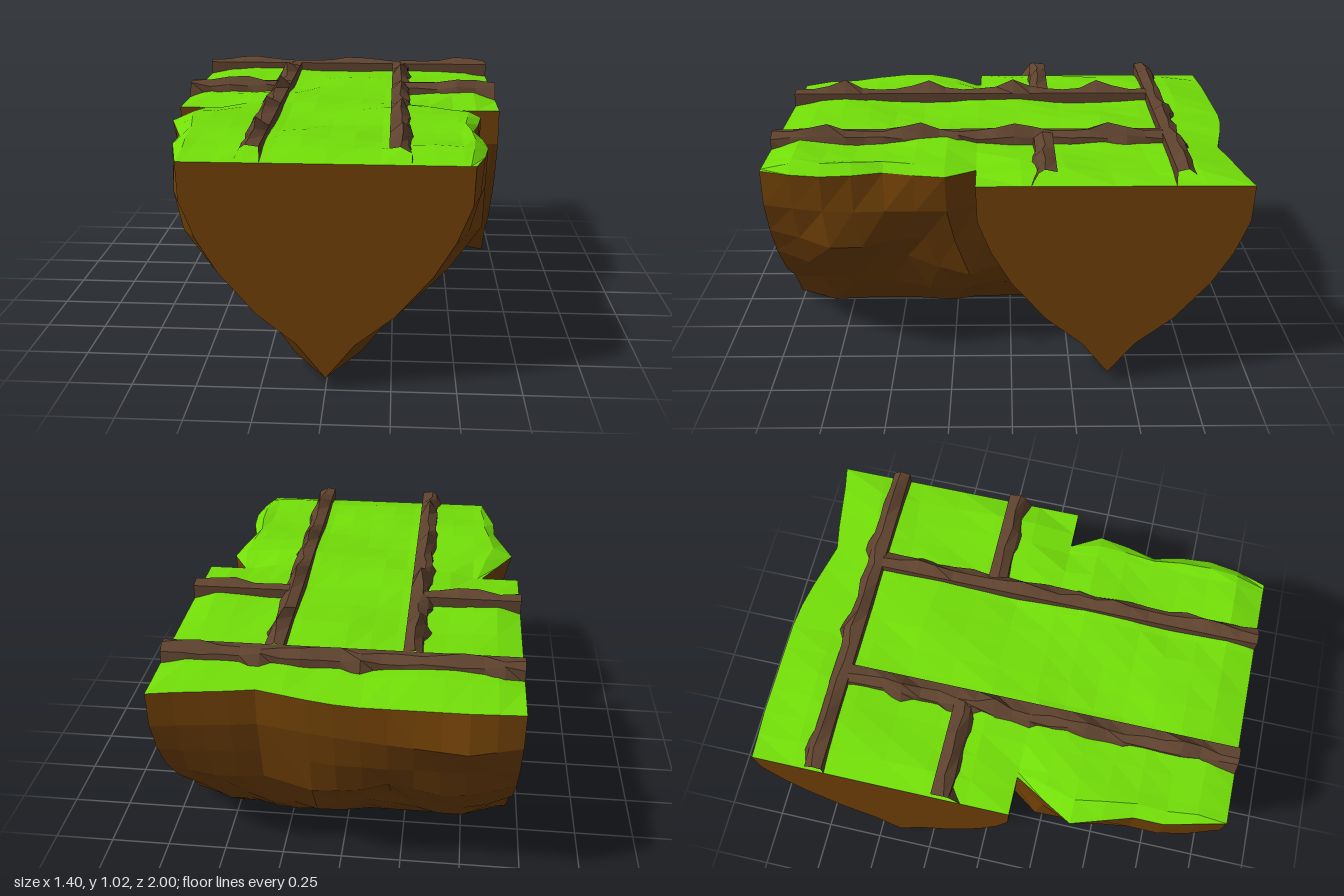
import * as THREE from 'three';

const mat = (color) => new THREE.MeshStandardMaterial({ color, flatShading: true });
const lerp = THREE.MathUtils.lerp;

// Repeatable 0..1 value for a position
const rnd = (x, y, z) => {
  const s = Math.sin(x * 127.1 + y * 311.7 + z * 74.7 + 1.3) * 4375.85;
  return s - Math.floor(s);
};

// Broad 0..1 swells with a little grain
const swell = (x, y, z) =>
  0.4 + 0.2 * Math.sin(9 * x + 8 * y + 7 * z) + 0.2 * Math.sin(5 * x - 11 * y - 10 * z) + 0.2 * rnd(x, y, z);

// Surface from rows of points; the front lies along (row step) x (column step)
function grid(rows, flip) {
  const n = rows[0].length, idx = [];
  for (let i = 0; i < rows.length - 1; i++) {
    for (let j = 0; j < n - 1; j++) {
      const a = i * n + j, b = a + n, c = a + 1, d = b + 1;
      if (flip) idx.push(a, c, b, b, c, d);
      else idx.push(a, b, c, b, d, c);
    }
  }
  const g = new THREE.BufferGeometry();
  g.setAttribute('position', new THREE.Float32BufferAttribute(rows.flat(2), 3));
  g.setIndex(idx);
  const flat = g.toNonIndexed();
  flat.computeVertexNormals();
  return flat;
}

// Half cross-section of the rock from rim to keel: half width, height
const PROFILE = [[0.54, 0.9], [0.535, 0.75], [0.48, 0.61], [0.4, 0.475], [0.26, 0.31], [0.11, 0.19], [0, 0.05]];
// Outward direction at each profile point: sideways, vertical
const OUT = [[1, 0], [1, -0.1], [0.9, -0.3], [0.8, -0.5], [0.6, -0.7], [0.15, -1], [0, -1]];
const KEEL = PROFILE.length - 1;
const STEPS = 7, BAR_Z = -0.4, SEAM_Z = 0.14, END_X = 0.7;

// Largest bulge of each profile point, and the filling of the inner corners
const STEM_BULGE = [0, 0.05, 0.1, 0.1, 0.12, 0.24, 0.08];
const BACK_BULGE = [0, 0, 0.06, 0.14, 0.17, 0.11, 0];
const FRONT_BULGE = [0, 0, 0.015, -0.01, -0.05, -0.08, 0];
const FILLET = [0, 0, 0.03, 0.05, 0.05, 0.02, 0];

// The keel of the crossbar lies further back between its ends
const KEEL_SHIFT = 0.08;
const keelZ = (x) => BAR_Z - KEEL_SHIFT * Math.min(1, 5 * (END_X - Math.abs(x)));

// How far the rim wanders from the straight profile
const RIM_LEFT = [0, 0.04, 0.06, 0.05, 0.02, 0.05, 0.07, 0];
const RIM_RIGHT = [0, 0.03, 0.06, 0.06, 0.1, 0.14, 0.07, 0];
const RIM_BACK = [0, 0.005, 0.01, 0.01, 0.01, 0.01, 0.01, 0, -0.02, -0.045, -0.07, -0.05, -0.035, -0.02, 0];
const backRim = (x) => RIM_BACK[Math.round((x + END_X) * 10)];

// One side of the stem, mitred against the crossbar
function stemSide(s) {
  const rim = s > 0 ? RIM_LEFT : RIM_RIGHT, rows = [];
  for (let i = 0; i <= STEPS; i++) {
    const u = i / STEPS;
    const fade = Math.min(1, 1.7 * Math.sin(Math.PI * u));
    rows.push(PROFILE.map(([w, y], j) => {
      const z = lerp(1, j === KEEL ? keelZ(0) : BAR_Z + w, u), e = FILLET[j] * u ** 3;
      const low = j >= KEEL - 1 ? 1 - u ** 4 : 1;
      const d = STEM_BULGE[j] * fade * low * swell(s * w, y, z);
      const x = w + OUT[j][0] * d + e + rim[i] * (1 - j / KEEL) ** 2;
      return [s * x, Math.max(0, y + OUT[j][1] * d - e), z + e];
    }));
  }
  return grid(rows, s > 0);
}

// Half of the crossbar's front, mitred against the stem
function barFront(s) {
  const rows = [];
  for (let i = 0; i <= STEPS; i++) {
    const u = i / STEPS;
    rows.push(PROFILE.map(([w, y], j) => {
      const x = lerp(END_X, w, u), e = FILLET[j] * u ** 3;
      if (j === KEEL) return [s * x, y, keelZ(x)];
      const d = FRONT_BULGE[j] * Math.sin(Math.PI * u) * (0.5 + swell(s * x, y, w));
      return [s * (x + e), y + OUT[j][1] * d - e, BAR_Z + w + OUT[j][0] * d + e];
    }));
  }
  return grid(rows, s < 0);
}

// Full back of the crossbar, with one overhang under the rim
function barBack() {
  const rows = [];
  for (let i = 0; i <= 2 * STEPS; i++) {
    const x = (i - STEPS) / 10, fade = Math.min(1, 1.4 * Math.sin(Math.PI * i / (2 * STEPS)));
    rows.push(PROFILE.map(([w, y], j) => {
      if (j === KEEL) return [x, y, keelZ(x)];
      const d = BACK_BULGE[j] * fade * swell(x, y, -w);
      const over = j === 1 ? 0.055 * Math.max(0, 1 - Math.abs(x + 0.5) / (x > -0.5 ? 0.45 : 0.2)) : 0;
      const low = j === KEEL - 1 ? BAR_Z - keelZ(x) : 0;
      const out = w + OUT[j][0] * d + over + low + backRim(x) * (1 - j / KEEL);
      return [x, y + OUT[j][1] * d, Math.max(-1, BAR_Z - out)];
    }));
  }
  return grid(rows, false);
}

// Flat cut end in the shape of the full cross-section
function endCap() {
  const right = PROFILE.map(([w, y]) => new THREE.Vector2(w, y));
  const left = PROFILE.slice(0, KEEL).reverse().map(([w, y]) => new THREE.Vector2(-w, y));
  return new THREE.ShapeGeometry(new THREE.Shape([...right, ...left].reverse()));
}

// Uneven turf over the whole T shape, higher beside the path of the stem
function turf() {
  const cols = Array.from({ length: 15 }, (_, k) => (k - 7) / 10);
  const height = (x, z) => {
    const verge = z > SEAM_Z && Math.abs(x) > 0.25;
    return (verge ? 0.916 : 0.905) + 0.035 * swell(x, 2, z);
  };
  const rows = [];
  for (let j = 0; j <= 6; j++) {
    rows.push(cols.map((x) => {
      const z = lerp(BAR_Z - 0.54 - backRim(x), SEAM_Z, j / 6);
      const rim = j === 0 || Math.abs(x) > 0.65 || (j === 6 && Math.abs(x) > 0.45);
      return [x, rim ? 0.9 : height(x, z), z];
    }));
  }
  for (let i = STEPS; i >= 0; i--) {
    const z = lerp(1, SEAM_Z, i / STEPS);
    rows.push(cols.map((c) => {
      const a = Math.abs(c), s = Math.sign(c);
      const edge = 0.54 + (s > 0 ? RIM_LEFT : RIM_RIGHT)[i];
      const x = a > 0.65 ? s * edge : a > 0.55 ? s * (edge + 0.5) / 2 : c;
      const rim = i === 0 || a > 0.65 || (i === STEPS && a > 0.45);
      return [x, rim ? 0.9 : height(c, z), z];
    }));
  }
  return grid(rows, false);
}

// Bank of earth: a straight upright face on the path, a ragged slope on its left
function bank(x0, z0, x1, z1) {
  const len = Math.hypot(x1 - x0, z1 - z0), n = Math.max(5, Math.round(len / 0.08));
  const nx = (z1 - z0) / len, nz = -(x1 - x0) / len, rows = [];
  for (let i = 0; i <= n; i++) {
    const x = lerp(x0, x1, i / n), z = lerp(z0, z1, i / n);
    const r = rnd(x, 5, z), q = rnd(x, 7, z);
    const crest = x0 === x1 ? 0.05 * Math.cos(15.7 * (z - 0.38)) : 0.025 * Math.cos(11.8 * (x - 0.05));
    const peak = Math.max(0, crest) * (0.6 + 0.4 * r);
    const section = [[0, 0.89], [0, 0.96], [0.035 + 0.02 * q, 0.967 + peak], [0.068 + 0.015 * r, 0.94 + 0.02 * q], [0.078 + 0.05 * q * q, 0.89]];
    rows.push(section.map(([o, y]) => [x + nx * o, y, z + nz * o]));
  }
  return grid(rows, false);
}

export function createModel() {
  const model = new THREE.Group();
  const rock = mat(0x704006), grass = mat(0x72de08), earth = mat(0x5e422e);
  const add = (name, geometry, material) => {
    const mesh = new THREE.Mesh(geometry, material);
    mesh.name = name;
    model.add(mesh);
    return mesh;
  };

  // Rock walls
  for (const [side, s] of [['left', 1], ['right', -1]]) {
    add(side + 'StemRock', stemSide(s), rock);
    add(side + 'BarFrontRock', barFront(s), rock);
    const cap = add(side + 'CutEnd', endCap(), rock);
    cap.rotation.y = s * Math.PI / 2;
    cap.position.set(s * END_X, 0, BAR_Z);
  }
  add('barBackRock', barBack(), rock);
  add('frontCutEnd', endCap(), rock).position.z = 1;

  // Turf and the banks that border the paths
  add('grass', turf(), grass);
  add('rightStemBank', bank(-0.235, 1, -0.235, -0.64), earth);
  add('leftStemBank', bank(0.23, -0.64, 0.23, 1), earth);
  add('backBank', bank(-END_X, -0.635, END_X, -0.635), earth);
  add('leftArmBank', bank(END_X, -0.175, 0.26, -0.175), earth);
  add('rightArmBank', bank(-0.26, -0.18, -END_X, -0.18), earth);
  return model;
}
